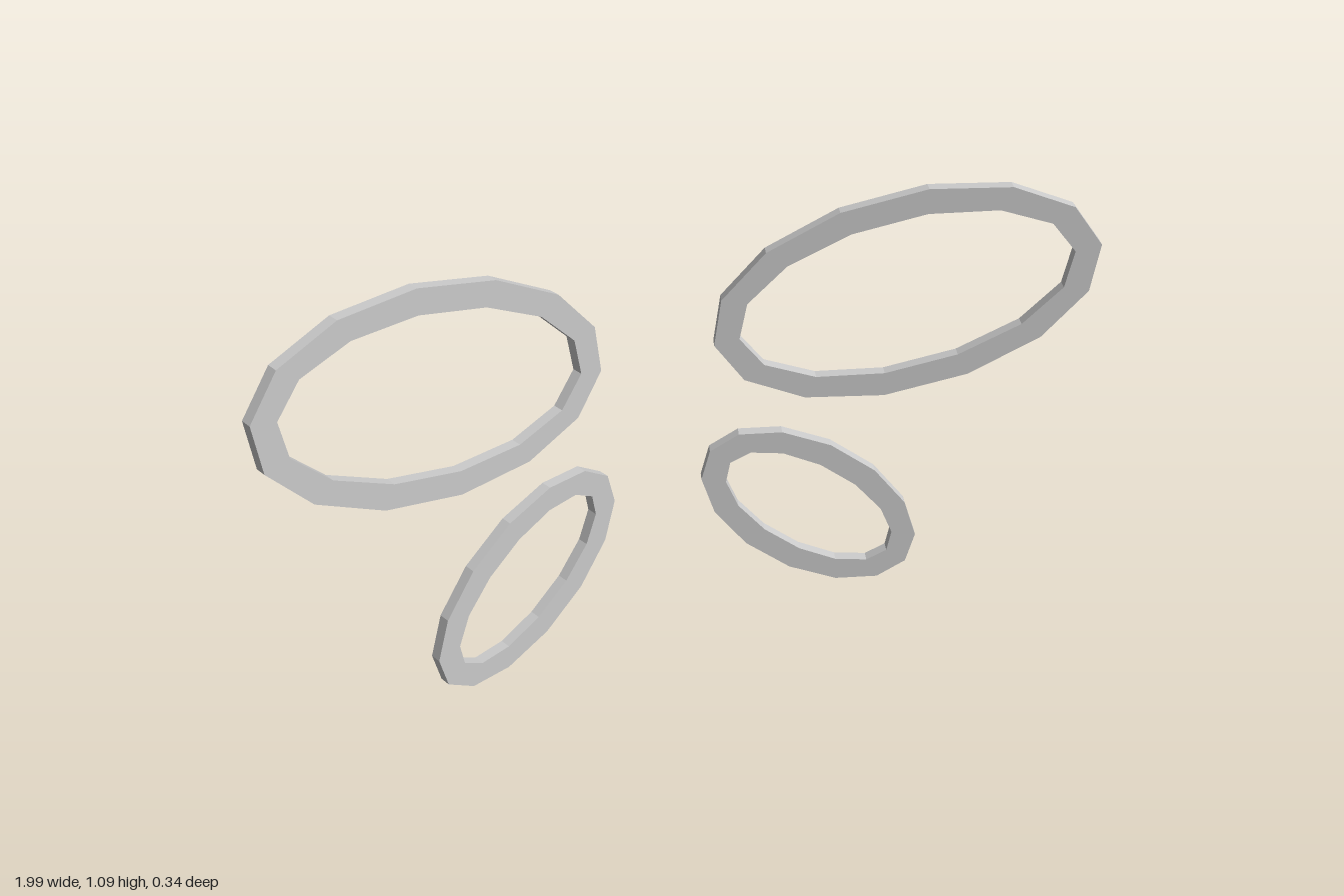
import * as THREE from 'three';

const SIDES = 14;      // corners per ring
const WIDTH = 0.062;   // width of the flat band
const DEPTH = 0.028;   // thickness of the band
const SWEEP = THREE.MathUtils.degToRad(20); // outer tips lean forward

function ellipsePoints(a, b) {
  return Array.from({ length: SIDES }, (_, i) => {
    const t = (i / SIDES) * Math.PI * 2;
    return new THREE.Vector2(a * Math.cos(t), b * Math.sin(t));
  });
}

// Flat faceted oval hoop, centred on its own origin
function hoopGeometry(a, b) {
  const shape = new THREE.Shape(ellipsePoints(a, b));
  shape.holes.push(new THREE.Path(ellipsePoints(a - WIDTH, b - WIDTH)));
  const geometry = new THREE.ExtrudeGeometry(shape, { depth: DEPTH, bevelEnabled: false });
  return geometry.translate(0, 0, -DEPTH / 2);
}

export function createModel() {
  const group = new THREE.Group();
  group.name = 'wingFrames';
  const material = new THREE.MeshStandardMaterial({ color: 0xcccccc, flatShading: true });

  // Large upper and small lower hoop, defined for the +x side
  const hoops = [
    { name: 'UpperWing', a: 0.465, b: 0.26, tilt: 15, at: [0.57, 0.827, 0] },
    { name: 'LowerWing', a: 0.31, b: 0.182, tilt: -35, at: [0.378, 0.232, -0.066] },
  ];

  for (const { name, a, b, tilt, at } of hoops) {
    const geometry = hoopGeometry(a, b);
    for (const side of [1, -1]) {
      const hoop = new THREE.Mesh(geometry, material);
      hoop.name = (side > 0 ? 'left' : 'right') + name;
      hoop.position.set(side * at[0], at[1], at[2]);
      hoop.rotation.set(0, -side * SWEEP, side * THREE.MathUtils.degToRad(tilt));
      group.add(hoop);
    }
  }
  return group;
}
